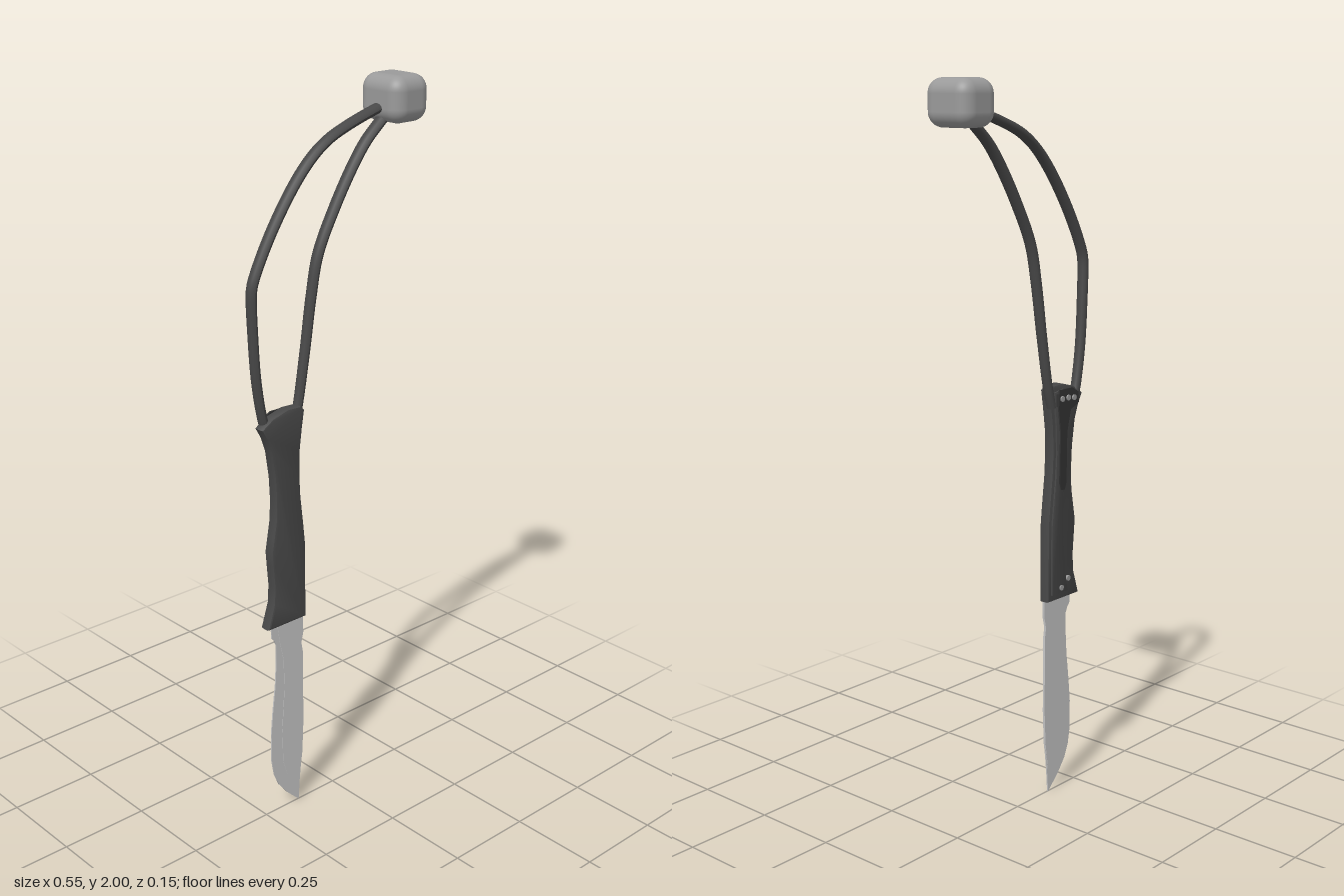
import * as THREE from 'three';
import { toCreasedNormals } from 'three/addons/utils/BufferGeometryUtils.js';
import { RoundedBoxGeometry } from 'three/addons/geometries/RoundedBoxGeometry.js';

const material = (name, color) => {
  const m = new THREE.MeshStandardMaterial({ color });
  m.name = name;
  return m;
};

const toShape = (pts) => new THREE.Shape(pts.map(([x, y]) => new THREE.Vector2(x, y)));

// Flat outline extruded from zBack to zFront, with an optional inset bevel
function plate(pts, zBack, zFront, bevel = 0) {
  const g = new THREE.ExtrudeGeometry(toShape(pts), {
    depth: zFront - zBack - 2 * bevel,
    bevelEnabled: bevel > 0,
    bevelThickness: bevel, bevelSize: bevel, bevelOffset: -bevel, bevelSegments: 2,
  });
  g.translate(0, 0, zBack + bevel);
  return toCreasedNormals(g, 0.6);
}

// Slightly flattened cord that widens and shifts forward toward the bead
function cord(pts) {
  const curve = new THREE.CatmullRomCurve3(pts.map(([x, y]) => new THREE.Vector3(x, y, 0)), false, 'centripetal');
  const g = new THREE.TubeGeometry(curve, 64, 0.0125, 12);
  const p = g.attributes.position;
  for (let i = 0; i < p.count; i++) {
    const t = THREE.MathUtils.clamp((p.getY(i) - 1.17) / 0.72, 0, 1);
    p.setZ(i, p.getZ(i) * (1.15 + 0.35 * t) - 0.013 + 0.012 * t);
  }
  g.computeVertexNormals();
  return g;
}

export function createModel() {
  const model = new THREE.Group();
  model.name = 'foldingKnife';
  const dark = material('darkGrip', 0x484848);
  const black = material('blackClip', 0x333333);
  const steel = material('bladeSteel', 0xc4c4c4);
  const bead = material('greyBead', 0x9a9a9a);
  const add = (name, geometry, mat) => {
    const mesh = new THREE.Mesh(geometry, mat);
    mesh.name = name;
    model.add(mesh);
    return mesh;
  };

  // Blade: thin cutting edge plus a thicker flat along the spine
  add('bladeEdge', plate([
    [-0.222, 0.60], [-0.222, 0.547], [-0.214, 0.54], [-0.206, 0.522], [-0.207, 0.46], [-0.211, 0.40],
    [-0.221, 0.32], [-0.228, 0.25], [-0.228, 0.165], [-0.22, 0.118], [-0.204, 0.08], [-0.175, 0.042],
    [-0.132, 0.0], [-0.127, 0.066], [-0.118, 0.15], [-0.113, 0.25], [-0.113, 0.47], [-0.118, 0.50],
    [-0.111, 0.53], [-0.111, 0.60],
  ], -0.002, 0.002), steel);
  add('bladeSpine', plate([
    [-0.205, 0.60], [-0.195, 0.53], [-0.182, 0.47], [-0.180, 0.38], [-0.190, 0.25], [-0.188, 0.15],
    [-0.172, 0.095], [-0.130, 0.07], [-0.118, 0.15], [-0.113, 0.25], [-0.113, 0.47], [-0.118, 0.50],
    [-0.111, 0.53], [-0.111, 0.60],
  ], -0.0035, 0.0035), steel);

  // Handle body
  add('handle', plate([
    [-0.239, 0.58], [-0.217, 0.65], [-0.214, 0.70], [-0.219, 0.76], [-0.222, 0.80], [-0.214, 0.845],
    [-0.206, 0.89], [-0.204, 0.95], [-0.207, 1.01], [-0.218, 1.085], [-0.232, 1.125], [-0.249, 1.155],
    [-0.212, 1.178], [-0.16, 1.192], [-0.118, 1.19], [-0.106, 1.178], [-0.114, 1.13], [-0.122, 1.07],
    [-0.124, 1.0], [-0.121, 0.94], [-0.112, 0.86], [-0.106, 0.80], [-0.106, 0.58],
  ], -0.022, 0.011, 0.006), dark);

  // Raised scale on the back
  add('backScale', plate([
    [-0.185, 0.60], [-0.172, 0.66], [-0.162, 0.78], [-0.162, 0.98], [-0.170, 1.08], [-0.19, 1.165],
    [-0.16, 1.178], [-0.122, 1.172], [-0.132, 1.07], [-0.134, 1.0], [-0.130, 0.93], [-0.116, 0.80],
    [-0.116, 0.60],
  ], -0.027, -0.02, 0.002), dark);

  // Pocket clip standing off the back
  add('pocketClip', plate([
    [-0.212, 1.135], [-0.21, 1.165], [-0.185, 1.18], [-0.13, 1.18], [-0.127, 1.13], [-0.136, 1.06],
    [-0.134, 0.92], [-0.142, 0.90], [-0.154, 0.90], [-0.161, 0.92], [-0.163, 1.06], [-0.178, 1.12],
  ], -0.038, -0.034), black);
  add('clipMount', new THREE.BoxGeometry(0.06, 0.035, 0.016).translate(-0.16, 1.15, -0.028), black);

  // Screws on the back, at the clip and at the blade pivot
  const screw = new THREE.CylinderGeometry(0.008, 0.008, 0.006, 12).rotateX(Math.PI / 2);
  [[-0.14, 1.155, -0.039], [-0.165, 1.155, -0.039], [-0.19, 1.152, -0.039],
    [-0.155, 0.615, -0.027], [-0.187, 0.635, -0.025]].forEach(([x, y, z], i) => {
    add('screw' + (i + 1), screw, bead).position.set(x, y, z);
  });

  // Lanyard cords running up to the bead
  add('outerCord', cord([
    [-0.215, 1.13], [-0.230, 1.18], [-0.248, 1.28], [-0.258, 1.40], [-0.262, 1.515], [-0.257, 1.54],
    [-0.205, 1.645], [-0.125, 1.762], [-0.065, 1.825], [-0.012, 1.861], [0.06, 1.89], [0.15, 1.917], [0.20, 1.93],
  ]), dark);
  add('innerCord', cord([
    [-0.125, 1.13], [-0.111, 1.18], [-0.086, 1.33], [-0.066, 1.47], [-0.044, 1.575], [0.01, 1.685],
    [0.072, 1.785], [0.115, 1.84], [0.165, 1.885], [0.205, 1.92],
  ]), dark);

  // Rounded bead
  add('bead', new RoundedBoxGeometry(0.124, 0.12, 0.147, 6, 0.038).translate(0.213, 1.94, -0.001), bead);

  return model;
}
